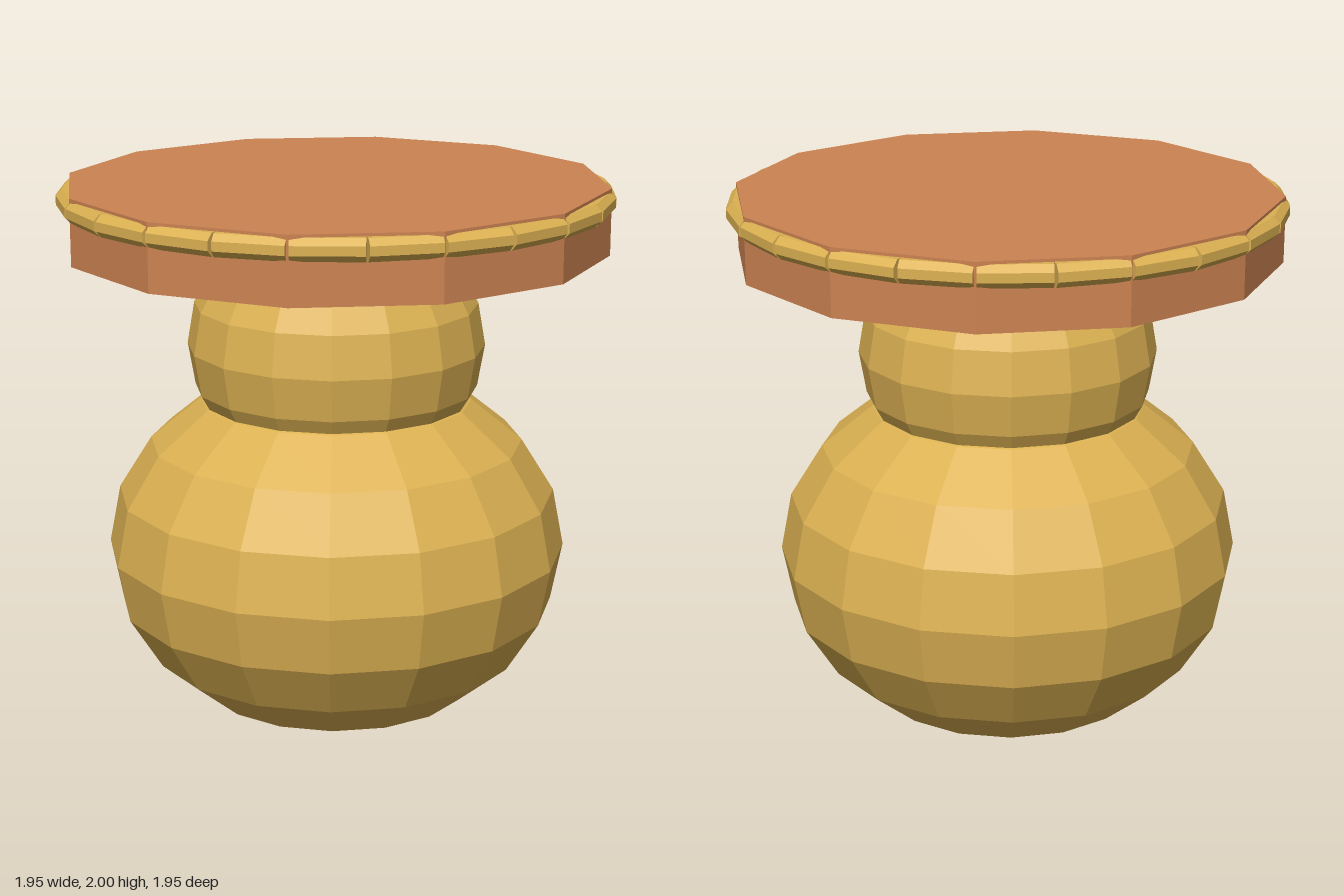
import * as THREE from 'three';

export function createModel() {
  const model = new THREE.Group();
  const gold = new THREE.MeshStandardMaterial({ color: 0xdcb152, flatShading: true });
  gold.name = 'gold';
  const terracotta = new THREE.MeshStandardMaterial({ color: 0xcc8352, flatShading: true });
  terracotta.name = 'terracotta';

  const add = (name, geometry, material, parent = model) => {
    const mesh = new THREE.Mesh(geometry, material);
    mesh.name = name;
    parent.add(mesh);
    return mesh;
  };

  // Two stacked, slightly squashed faceted bulbs
  const bulb = (name, radius, halfHeight, y) => {
    const geometry = new THREE.SphereGeometry(1, 16, 10);
    geometry.scale(radius, halfHeight, radius);
    add(name, geometry, gold).position.y = y;
  };
  bulb('lowerBulb', 0.825, 0.67, 0.67);
  bulb('upperBulb', 0.53, 0.485, 1.415);

  // Twelve-sided slab on top
  add('topSlab', new THREE.CylinderGeometry(0.96, 0.96, 0.235, 12), terracotta).position.y = 1.8825;

  // Ring of short rods set into the slab's edge
  const rim = new THREE.Group();
  rim.name = 'rim';
  model.add(rim);
  const rodGeometry = new THREE.CylinderGeometry(0.042, 0.042, 0.242, 8);
  rodGeometry.rotateY(Math.PI / 8);
  rodGeometry.rotateZ(Math.PI / 2);
  const count = 24;
  for (let i = 0; i < count; i++) {
    const angle = ((i + 0.5) / count) * Math.PI * 2;
    const rod = add('rimRod', rodGeometry, gold, rim);
    rod.position.set(Math.sin(angle) * 0.929, 1.951, Math.cos(angle) * 0.929);
    rod.rotation.y = angle;
  }

  return model;
}
